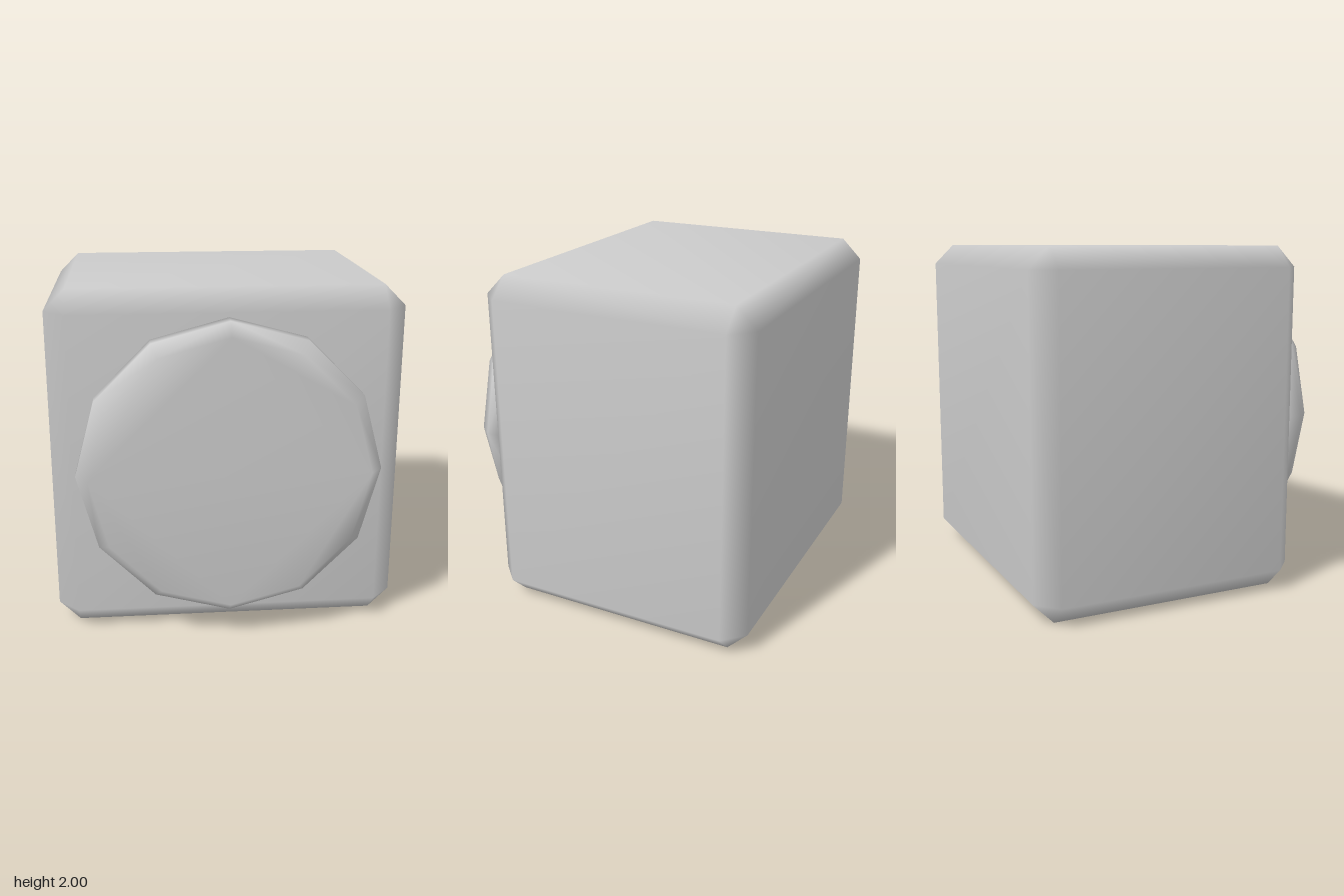
import * as THREE from 'three';
import { ConvexGeometry } from 'three/addons/geometries/ConvexGeometry.js';
import { mergeVertices } from 'three/addons/utils/BufferGeometryUtils.js';

// Solid hull with normals blended across its bevels
function smoothHull(points) {
  const hull = new ConvexGeometry(points);
  hull.deleteAttribute('normal');
  const geometry = mergeVertices(hull, 1e-4);
  geometry.computeVertexNormals();
  return geometry;
}

// Box with every edge and corner cut by the same bevel
function bevelledBox(width, height, depth, bevel) {
  const half = [width / 2, height / 2, depth / 2];
  const points = [];
  for (const sx of [-1, 1]) for (const sy of [-1, 1]) for (const sz of [-1, 1]) {
    const signs = [sx, sy, sz];
    for (let axis = 0; axis < 3; axis++) {
      const p = half.map((h, i) => signs[i] * (i === axis ? h : h - bevel));
      points.push(new THREE.Vector3(...p));
    }
  }
  return smoothHull(points);
}

// Polygonal disc facing +z, from rings of [radius, z]
function bevelledDisc(rings, sides) {
  const points = [];
  for (const [radius, z] of rings) {
    for (let i = 0; i < sides; i++) {
      const a = (i / sides) * Math.PI * 2;
      points.push(new THREE.Vector3(Math.cos(a) * radius, Math.sin(a) * radius, z));
    }
  }
  return smoothHull(points);
}

export function createModel() {
  const group = new THREE.Group();
  const material = new THREE.MeshStandardMaterial({ color: 0xcccccc });

  // Main block
  const body = new THREE.Mesh(bevelledBox(2, 2, 1.62, 0.12), material);
  body.name = 'body';
  body.position.set(0, 1, -0.09);
  group.add(body);

  // Twelve-sided plate on the front, its back sunk into the block
  const disc = new THREE.Mesh(
    bevelledDisc([[0.855, 0.7], [0.855, 0.82], [0.785, 0.9]], 12), material);
  disc.name = 'frontDisc';
  disc.position.y = 1;
  group.add(disc);

  return group;
}
